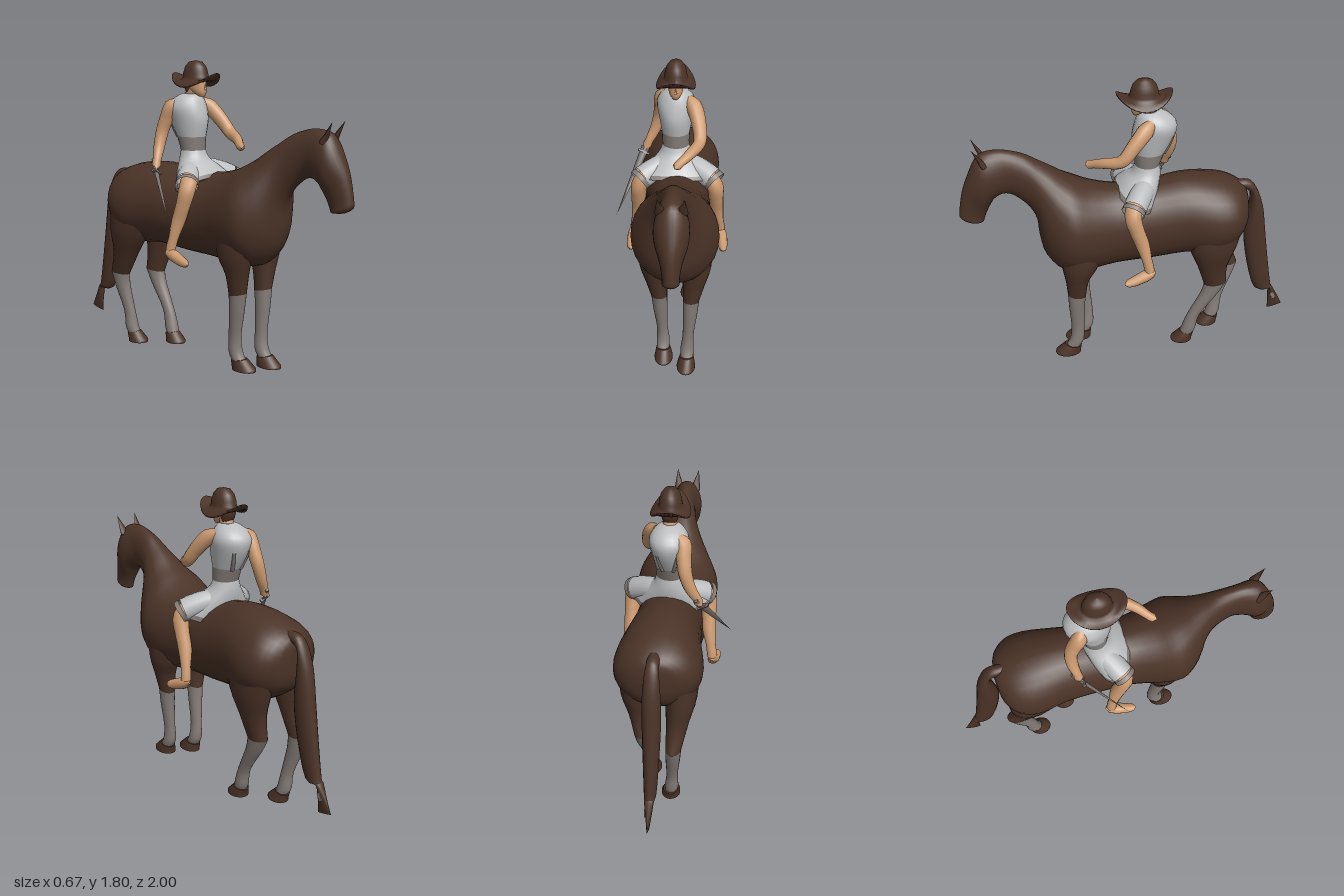
import * as THREE from 'three';

const mat = (name, color) => {
  const m = new THREE.MeshStandardMaterial({ color, side: THREE.DoubleSide });
  m.name = name;
  return m;
};
const CX = 0.025; // centre line of the horse

export function createModel() {
  const coat = mat('brown coat', 0x4b3327);
  const skin = mat('skin', 0xcc9a70);
  const cloth = mat('light cloth', 0xbcbec0);
  const grey = mat('grey', 0x857d78);
  const dark = mat('dark detail', 0x2a1c16);
  const model = new THREE.Group();

  const add = (name, geo, material, parent = model) => {
    const mesh = new THREE.Mesh(geo, material);
    mesh.name = name;
    parent.add(mesh);
    return mesh;
  };
  const group = (name) => {
    const g = new THREE.Group();
    g.name = name;
    model.add(g);
    return g;
  };

  // Loft of ellipses. Row: [z1, y1, z2, y2, halfWidth, x], two opposite silhouette points.
  const loft = (rows, sub = 3, n = 20) => {
    const rings = [];
    const at = (i) => rows[Math.max(0, Math.min(rows.length - 1, i))];
    for (let i = 0; i < rows.length - 1; i++) {
      for (let s = 0; s < sub; s++) {
        const t = s / sub;
        rings.push(at(i).map((b, k) => {
          const a = at(i - 1)[k], c = at(i + 1)[k], d = at(i + 2)[k];
          return b + 0.5 * t * (c - a + t * (2 * a - 5 * b + 4 * c - d + t * (3 * (b - c) + d - a)));
        }));
      }
    }
    rings.push(rows[rows.length - 1]);
    const pos = [], idx = [];
    const ring = ([z1, y1, z2, y2, w, x]) => {
      for (let j = 0; j < n; j++) {
        const a = (j / n) * Math.PI * 2, c = (1 + Math.cos(a)) / 2;
        pos.push(x + w * Math.sin(a), y2 + (y1 - y2) * c, z2 + (z1 - z2) * c);
      }
    };
    rings.forEach(ring);
    for (let i = 0; i < rings.length - 1; i++) {
      for (let j = 0; j < n; j++) {
        const a = i * n + j, b = i * n + (j + 1) % n;
        idx.push(a, b, a + n, b, b + n, a + n);
      }
    }
    // End caps
    [rings[0], rings[rings.length - 1]].forEach((r, e) => {
      const base = pos.length / 3;
      ring(r);
      pos.push(r[5], (r[1] + r[3]) / 2, (r[0] + r[2]) / 2);
      for (let j = 0; j < n; j++) {
        const a = base + j, b = base + (j + 1) % n;
        if (e) idx.push(a, b, base + n); else idx.push(b, a, base + n);
      }
    });
    // Turn the faces outwards by the sign of the volume
    const v = (i) => new THREE.Vector3().fromArray(pos, i * 3);
    let vol = 0;
    const o = v(0);
    for (let i = 0; i < idx.length; i += 3) {
      vol += v(idx[i]).sub(o).dot(v(idx[i + 1]).sub(o).cross(v(idx[i + 2]).sub(o)));
    }
    if (vol < 0) idx.reverse();
    const g = new THREE.BufferGeometry();
    g.setAttribute('position', new THREE.Float32BufferAttribute(pos, 3));
    g.setIndex(idx);
    g.computeVertexNormals();
    return g;
  };

  // Round limb along a path. Point: [x, y, z, radius].
  const limb = (pts, seg = 18, n = 12) => {
    const curve = new THREE.CatmullRomCurve3(pts.map((p) => new THREE.Vector3(p[0], p[1], p[2])));
    const g = new THREE.TubeGeometry(curve, seg, 1, n);
    const p = g.attributes.position, q = new THREE.Vector3();
    for (let i = 0; i <= seg; i++) {
      const c = curve.getPointAt(i / seg);
      const t = curve.getUtoTmapping(i / seg) * (pts.length - 1);
      const k = Math.min(pts.length - 2, Math.floor(t));
      const r = THREE.MathUtils.lerp(pts[k][3], pts[k + 1][3], t - k);
      for (let j = 0; j <= n; j++) {
        const id = i * (n + 1) + j;
        q.fromBufferAttribute(p, id).sub(c).multiplyScalar(r).add(c);
        p.setXYZ(id, q.x, q.y, q.z);
      }
    }
    return g;
  };
  const centred = (rows, x = CX) => rows.map((r) => [...r, x]);

  // Horse: body, neck and head in one skin
  const horse = group('horse');
  add('horseBody', loft(centred([
    [-0.70, 1.02, -0.695, 0.86, 0.05], [-0.68, 1.08, -0.67, 0.79, 0.15], [-0.60, 1.13, -0.60, 0.72, 0.23],
    [-0.48, 1.165, -0.48, 0.66, 0.25], [-0.30, 1.18, -0.32, 0.67, 0.22], [-0.10, 1.15, -0.10, 0.65, 0.20],
    [0.10, 1.15, 0.10, 0.64, 0.20], [0.24, 1.18, 0.28, 0.62, 0.235], [0.33, 1.22, 0.43, 0.64, 0.25],
    [0.40, 1.26, 0.52, 0.74, 0.205], [0.47, 1.31, 0.55, 0.86, 0.155], [0.54, 1.355, 0.56, 0.98, 0.115],
    [0.62, 1.405, 0.60, 1.07, 0.085], [0.74, 1.44, 0.68, 1.15, 0.07], [0.84, 1.43, 0.74, 1.17, 0.085],
    [0.885, 1.39, 0.79, 1.145, 0.093], [0.93, 1.30, 0.815, 1.11, 0.085], [0.97, 1.20, 0.84, 1.06, 0.06],
    [0.995, 1.08, 0.855, 1.02, 0.046], [0.995, 1.03, 0.865, 0.995, 0.045], [0.95, 1.0, 0.88, 0.995, 0.03],
  ]), 3, 28), coat, horse);

  // Tail, with a stepped lower tuft and a pale fleck
  add('tail', loft(centred([
    [-0.64, 1.11, -0.64, 1.04, 0.035], [-0.71, 1.105, -0.69, 1.045, 0.035], [-0.76, 1.05, -0.725, 1.01, 0.04],
    [-0.81, 0.92, -0.72, 0.90, 0.05], [-0.84, 0.74, -0.705, 0.72, 0.052], [-0.875, 0.52, -0.74, 0.50, 0.045],
    [-0.91, 0.32, -0.805, 0.295, 0.035], [-0.92, 0.295, -0.89, 0.285, 0.028], [-0.955, 0.23, -0.90, 0.22, 0.02],
    [-1.0, 0.14, -0.905, 0.115, 0.006],
  ])), coat, horse);
  const fleck = add('tailFleck', new THREE.BoxGeometry(0.008, 0.05, 0.022), grey, horse);
  fleck.position.set(CX + 0.019, 0.225, -0.928);
  fleck.rotation.x = 0.4;

  for (const s of [1, -1]) {
    const side = s > 0 ? 'left' : 'right';
    // Ears
    const ear = add(side + 'Ear', new THREE.ConeGeometry(0.032, 0.13, 8), coat, horse);
    ear.scale.z = 0.6;
    ear.position.set(CX + s * 0.06, 1.43, 0.865);
    ear.rotation.set(0.5, 0, -s * 0.12);

    // Legs: the right ones stand further back
    const leg = (name, shift, upper, lower, hoof) => {
      const place = (rows) => rows.map(([z1, y1, z2, y2, w, x]) => {
        const d = s > 0 ? 0 : shift * Math.max(0, Math.min(1, (0.9 - y1) / 0.75));
        return [z1 + d, y1, z2 + d, y2, w, CX + s * x];
      });
      add(name + 'Upper', loft(place(upper)), coat, horse);
      add(name + 'Stocking', loft(place(lower)), grey, horse);
      add(name + 'Hoof', loft(place(hoof), 1), coat, horse);
    };
    leg(side + 'FrontLeg', -0.08,
      [[0.46, 0.88, 0.18, 0.88, 0.09, 0.13], [0.44, 0.70, 0.22, 0.70, 0.085, 0.125],
        [0.42, 0.58, 0.28, 0.58, 0.065, 0.11], [0.41, 0.47, 0.30, 0.45, 0.048, 0.095]],
      [[0.41, 0.47, 0.30, 0.45, 0.048, 0.095], [0.405, 0.36, 0.31, 0.36, 0.043, 0.09],
        [0.395, 0.20, 0.315, 0.20, 0.033, 0.08], [0.405, 0.11, 0.32, 0.10, 0.04, 0.075], [0.43, 0.06, 0.345, 0.05, 0.038, 0.075]],
      [[0.44, 0.07, 0.335, 0.05, 0.043, 0.073], [0.50, 0.015, 0.34, 0.015, 0.056, 0.07], [0.50, 0, 0.34, 0, 0.056, 0.07]]);
    leg(side + 'HindLeg', -0.20,
      [[-0.30, 0.92, -0.66, 0.92, 0.10, 0.13], [-0.33, 0.74, -0.62, 0.74, 0.09, 0.13],
        [-0.39, 0.59, -0.575, 0.59, 0.065, 0.115], [-0.44, 0.44, -0.58, 0.45, 0.045, 0.10]],
      [[-0.44, 0.44, -0.58, 0.45, 0.045, 0.10], [-0.42, 0.36, -0.53, 0.36, 0.042, 0.095],
        [-0.345, 0.20, -0.425, 0.20, 0.033, 0.085], [-0.315, 0.11, -0.40, 0.09, 0.04, 0.08], [-0.30, 0.06, -0.38, 0.05, 0.038, 0.075]],
      [[-0.30, 0.07, -0.39, 0.05, 0.043, 0.073], [-0.245, 0.015, -0.38, 0.015, 0.056, 0.07], [-0.245, 0, -0.38, 0, 0.056, 0.07]]);
  }

  // Rider: flared skirt, darker waist, tunic
  const rider = group('rider');
  const RX = 0.012;
  const waist = [-0.02, 1.27, -0.165, 1.27, 0.078], ribs = [-0.015, 1.35, -0.195, 1.35, 0.083];
  const edge = [0.085, 1.145, -0.13, 1.05, 0.215];
  add('skirt', loft(centred([waist, [0.0, 1.225, -0.17, 1.21, 0.10], [0.045, 1.185, -0.155, 1.13, 0.16], edge], RX)), cloth, rider);
  add('skirtHem', loft(centred([edge, [0.10, 1.125, -0.12, 1.02, 0.23]], RX)), grey, rider);
  add('waistBand', loft(centred([waist, ribs], RX)), grey, rider);
  add('tunic', loft(centred([ribs, [0, 1.44, -0.245, 1.44, 0.10], [-0.015, 1.52, -0.262, 1.52, 0.112],
    [-0.035, 1.575, -0.22, 1.575, 0.085], [-0.055, 1.60, -0.16, 1.605, 0.045]], RX)), cloth, rider);

  // Neck and head
  add('neck', limb([[RX, 1.56, -0.115, 0.045], [RX, 1.66, -0.08, 0.036]], 4), skin, rider);
  add('head', loft(centred([[-0.012, 1.585, -0.045, 1.592, 0.018], [0, 1.61, -0.09, 1.615, 0.036],
    [0, 1.65, -0.13, 1.65, 0.044], [-0.005, 1.71, -0.14, 1.71, 0.045]], RX)), skin, rider);
  add('hair', loft(centred([[-0.085, 1.605, -0.13, 1.61, 0.036], [-0.07, 1.65, -0.148, 1.65, 0.047],
    [-0.07, 1.71, -0.15, 1.71, 0.05]], RX)), coat, rider);
  const nose = add('nose', new THREE.ConeGeometry(0.01, 0.04, 6), skin, rider);
  nose.position.set(RX, 1.647, 0.002);
  for (const s of [1, -1]) {
    const eye = add('eye', new THREE.BoxGeometry(0.018, 0.006, 0.006), dark, rider);
    eye.position.set(RX + s * 0.018, 1.672, -0.006);
    eye.rotation.y = s * 0.35;
    // Stripe on the back of the tunic
    add('backStripe', limb([[RX + s * 0.03, 1.345, -0.183, 0.012], [RX + s * 0.043, 1.40, -0.208, 0.012],
      [RX + s * 0.055, 1.46, -0.228, 0.01]], 6, 8), grey, rider);
  }

  // Hat: lathe squeezed to an oval, brim up at the ends and down at the sides
  const hat = new THREE.LatheGeometry([[0.001, 1.797], [0.27, 1.788], [0.42, 1.762], [0.5, 1.725], [0.52, 1.70],
    [0.58, 1.687], [0.75, 1.682], [1, 1.685], [0.98, 1.673], [0.75, 1.67], [0.45, 1.675]]
    .reverse().map((p) => new THREE.Vector2(...p)), 32);
  const hp = hat.attributes.position;
  for (let i = 0; i < hp.count; i++) {
    const x = hp.getX(i), z = hp.getZ(i), r = Math.hypot(x, z);
    const bend = Math.max(0, r - 0.5) * 2;
    const y = hp.getY(i) + bend * bend * (0.04 * z * z - 0.036 * x * x) / (r * r);
    hp.setXYZ(i, RX + x * (0.125 - 0.013 * bend), y, -0.073 + z * 0.16);
  }
  hat.computeVertexNormals();
  add('hat', hat, coat, rider);

  // Arms: left reaches forward, right hangs back with the sword
  add('leftArm', limb([[0.08, 1.55, -0.10, 0.03], [0.115, 1.525, -0.06, 0.048], [0.145, 1.45, 0.01, 0.042],
    [0.152, 1.37, 0.08, 0.036], [0.10, 1.34, 0.17, 0.03], [0.05, 1.315, 0.225, 0.024],
    [0.03, 1.305, 0.25, 0.026], [0.02, 1.30, 0.268, 0.003]], 28), skin, rider);
  add('rightArm', limb([[-0.035, 1.55, -0.17, 0.03], [-0.07, 1.525, -0.19, 0.046], [-0.08, 1.45, -0.225, 0.042],
    [-0.092, 1.37, -0.25, 0.038], [-0.12, 1.28, -0.25, 0.033], [-0.155, 1.21, -0.235, 0.025],
    [-0.168, 1.18, -0.23, 0.028], [-0.18, 1.155, -0.225, 0.003]], 28), skin, rider);

  // Skirt over the thighs, bare legs and feet
  for (const s of [1, -1]) {
    const side = s > 0 ? 'left' : 'right';
    const at = (pts) => pts.map(([x, y, z, r]) => [CX + s * x, y, z, r]);
    add(side + 'ThighCloth', limb(at([[0.04, 1.16, -0.08, 0.055], [0.10, 1.145, -0.045, 0.066],
      [0.165, 1.12, -0.005, 0.068], [0.205, 1.10, 0.02, 0.067]]), 12, 18), cloth, rider);
    add(side + 'ThighHem', limb(at([[0.205, 1.10, 0.02, 0.067], [0.225, 1.085, 0.034, 0.068]]), 2, 18), grey, rider);
    add(side + 'Leg', limb(at([[0.12, 1.13, -0.02, 0.05], [0.19, 1.10, 0.02, 0.052], [0.222, 1.05, 0.03, 0.05],
      [0.23, 0.97, 0.01, 0.044], [0.235, 0.88, -0.02, 0.042], [0.25, 0.78, -0.045, 0.03],
      [0.262, 0.70, -0.06, 0.03], [0.265, 0.665, -0.06, 0.003]]), 28), skin, rider);
    add(side + 'Foot', limb(at([[0.262, 0.69, -0.095, 0.004], [0.262, 0.688, -0.08, 0.026], [0.27, 0.673, -0.03, 0.035],
      [0.278, 0.65, 0.035, 0.03], [0.28, 0.638, 0.075, 0.022], [0.28, 0.634, 0.09, 0.003]]), 20), skin, rider);
  }

  // Sword: flat tapering blade, guard and grip
  const sword = group('sword');
  const hand = new THREE.Vector3(-0.175, 1.17, -0.23), tip = new THREE.Vector3(-0.34, 0.84, 0.03);
  const along = tip.clone().sub(hand), len = along.length();
  const blade = add('blade', new THREE.ConeGeometry(0.027, len, 4), grey, sword);
  blade.scale.z = 0.25;
  blade.position.y = len / 2;
  add('guard', new THREE.BoxGeometry(0.07, 0.012, 0.02), grey, sword).position.y = 0.035;
  add('grip', new THREE.CylinderGeometry(0.01, 0.012, 0.10, 8), grey, sword).position.y = -0.01;
  along.normalize();
  const across = new THREE.Vector3(-along.y, along.x, 0).normalize();
  sword.quaternion.setFromRotationMatrix(
    new THREE.Matrix4().makeBasis(across, along, across.clone().cross(along)));
  sword.position.copy(hand);

  return model;
}
